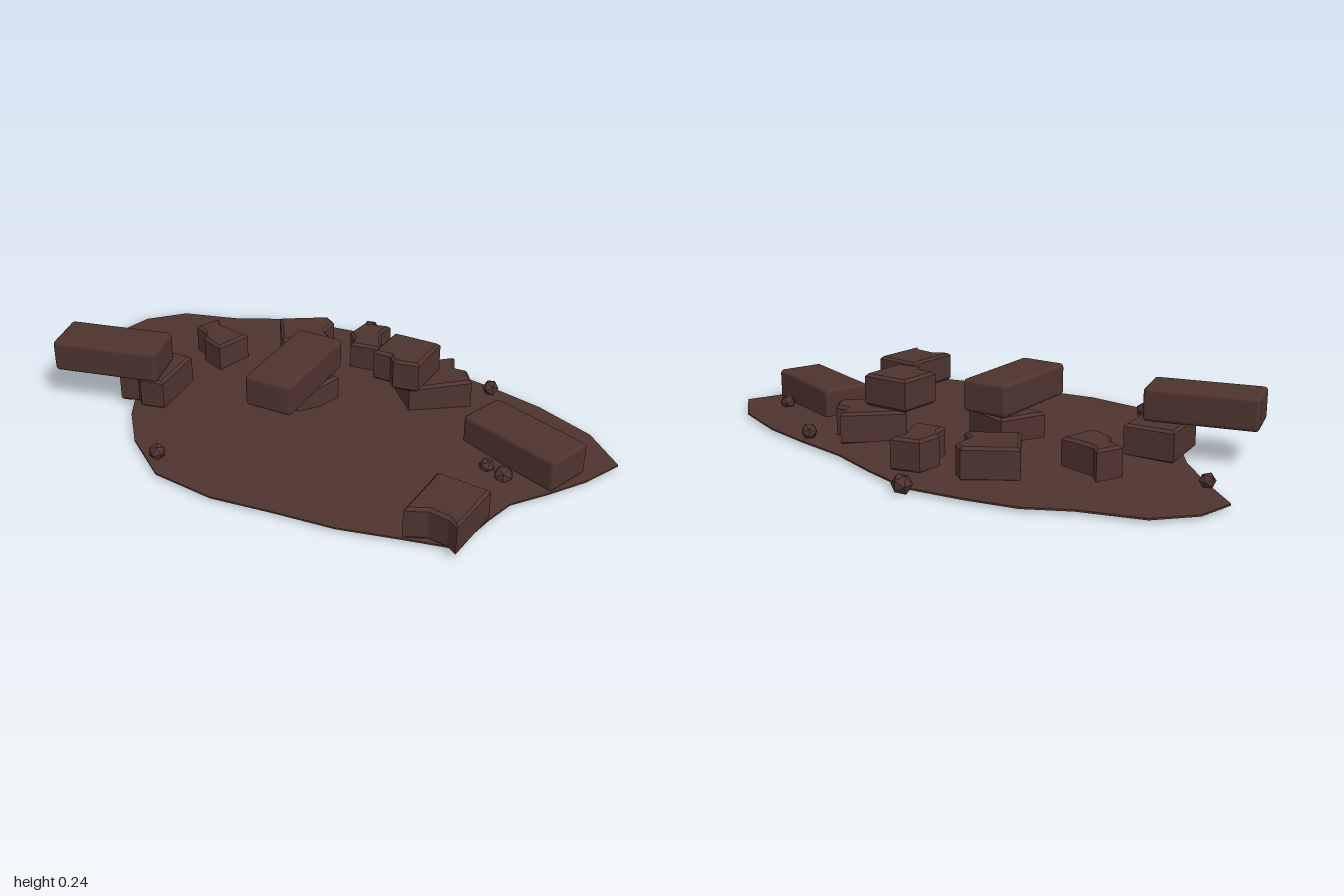
import * as THREE from 'three';
import { RoundedBoxGeometry } from 'three/addons/geometries/RoundedBoxGeometry.js';

const FLOOR = 0.02, BRICK_H = 0.115;

// Ground outline as [x, z], going round from the left through the back
const OUTLINE = [
  [-1, -0.03], [-0.985, -0.165], [-0.89, -0.295], [-0.69, -0.385], [-0.555, -0.48], [-0.38, -0.54],
  [-0.185, -0.59], [0.02, -0.56], [0.215, -0.52], [0.42, -0.51], [0.62, -0.49], [0.845, -0.43],
  [1, -0.315], [0.955, -0.17], [0.89, -0.04], [0.815, 0.09], [0.8, 0.2], [0.79, 0.38], [0.63, 0.44],
  [0.44, 0.515], [0.23, 0.565], [0.025, 0.62], [-0.205, 0.625], [-0.4, 0.52], [-0.525, 0.405],
  [-0.61, 0.29], [-0.69, 0.2], [-0.835, 0.085],
];

// Thin sheet of dirt: flat below, gently mounded above
function groundGeometry() {
  const rings = [[0, 0.015], [1, 0.015], [1, 0.021], [0.7, 0.03], [0.35, 0.046], [0, 0.049]];
  const n = OUTLINE.length, pos = [], index = [];
  for (const [s, y] of rings)
    for (const [x, z] of OUTLINE) pos.push(x * s + (1 - s) * 0.1, y, z * s);
  for (let k = 0; k < rings.length - 1; k++)
    for (let i = 0; i < n; i++) {
      const j = (i + 1) % n, a = k * n + i, b = a + n, c = (k + 1) * n + j, d = k * n + j;
      if (rings[k + 1][0] > 0) index.push(a, b, c);
      else index.push(a, b, d);
      if (rings[k][0] > 0 && rings[k + 1][0] > 0) index.push(a, c, d);
    }
  const g = new THREE.BufferGeometry();
  g.setAttribute('position', new THREE.Float32BufferAttribute(pos, 3));
  g.setIndex(index);
  const flat = g.toNonIndexed();
  flat.computeVertexNormals();
  return flat;
}

// Broken brick: bevelled slab with a ragged plan outline of [x, z] corners
function brokenGeometry(corners) {
  const bevel = 0.01;
  const shape = new THREE.Shape(corners.map(([x, z]) => new THREE.Vector2(x, -z)));
  const g = new THREE.ExtrudeGeometry(shape, {
    depth: BRICK_H - 2 * bevel, bevelEnabled: true, bevelThickness: bevel,
    bevelSize: bevel, bevelOffset: -bevel, bevelSegments: 1,
  });
  return g.rotateX(-Math.PI / 2).translate(0, bevel, 0);
}

export function createModel() {
  const model = new THREE.Group();
  const brown = new THREE.MeshStandardMaterial({ color: 0x4e342e });
  brown.name = 'darkBrown';
  const add = (name, geometry, x = 0, y = 0, z = 0, turn = 0) => {
    const mesh = new THREE.Mesh(geometry, brown);
    mesh.name = name;
    mesh.position.set(x, y, z);
    mesh.rotation.y = turn;
    model.add(mesh);
    return mesh;
  };

  add('ground', groundGeometry());

  // Whole bricks: x, z, turn, layer
  const whole = [
    [-0.67, 0.325, 0.383, 1],
    [-0.06, 0.058, 0.15 + Math.PI / 2, 1],
    [0.722, -0.165, -0.21, 0],
  ];
  whole.forEach(([x, z, turn, layer], i) => add('wholeBrick' + (i + 1),
    new RoundedBoxGeometry(0.385, BRICK_H, 0.175, 2, 0.014),
    x, FLOOR + BRICK_H * (layer + 0.5), z, turn));

  // Broken bricks: layer, then plan corners
  const broken = [
    [0, [[0.615, 0.21], [0.8, 0.2], [0.81, 0.42], [0.77, 0.4], [0.7, 0.4], [0.635, 0.44]]],
    [1, [[0.12, -0.3], [0.295, -0.325], [0.315, -0.15], [0.23, -0.12], [0.2, -0.15], [0.135, -0.14]]],
    [0, [[0.285, -0.45], [0.325, -0.385], [0.37, -0.395], [0.425, -0.335], [0.275, -0.16], [0.135, -0.28]]],
    [0, [[-0.42, -0.32], [-0.275, -0.44], [-0.23, -0.415], [-0.22, -0.34], [-0.165, -0.305], [-0.305, -0.185]]],
    [0, [[-0.135, -0.48], [-0.035, -0.515], [-0.04, -0.46], [0.03, -0.345], [-0.08, -0.31], [-0.095, -0.355], [-0.135, -0.39]]],
    [0, [[-0.605, -0.175], [-0.57, -0.145], [-0.5, -0.14], [-0.435, -0.14], [-0.455, 0], [-0.55, -0.025], [-0.58, -0.065], [-0.635, -0.08]]],
    [0, [[-0.67, 0.15], [-0.495, 0.11], [-0.45, 0.315], [-0.53, 0.345], [-0.56, 0.325], [-0.62, 0.355]]],
    [0, [[-0.165, -0.13], [0.025, -0.085], [0.01, 0.005], [-0.035, 0.08], [-0.09, 0.045], [-0.215, 0.04]]],
  ];
  broken.forEach(([layer, corners], i) =>
    add('brokenBrick' + (i + 1), brokenGeometry(corners), 0, FLOOR + BRICK_H * layer, 0));

  // Pebbles: x, y, z, radius
  const pebbles = [
    [-0.185, 0.036, -0.605, 0.036], [0.43, 0.045, -0.47, 0.03], [0.8, 0.04, -0.275, 0.03],
    [0.66, 0.035, -0.035, 0.028], [0.73, 0.038, -0.02, 0.034], [-0.865, 0.04, 0.05, 0.028],
    [-0.265, 0.042, 0.55, 0.03],
  ];
  pebbles.forEach(([x, y, z, r], i) =>
    add('pebble' + (i + 1), new THREE.IcosahedronGeometry(r, 0), x, y, z, i * 0.9));

  return model;
}
